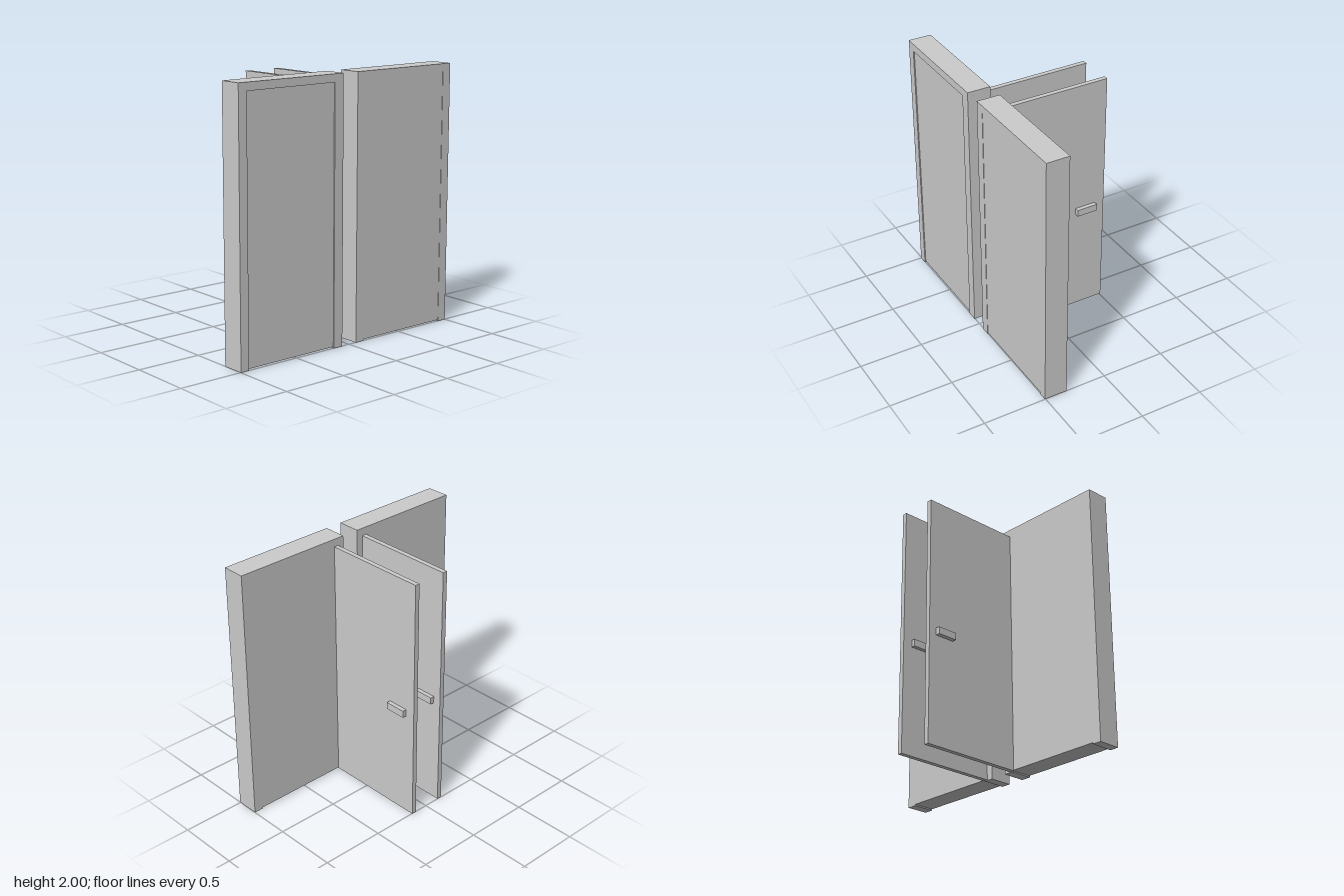
import * as THREE from 'three';

const material = new THREE.MeshStandardMaterial({ color: 0xcccccc, flatShading: true });

// Box given by its lower and upper corners
function block(name, [x0, y0, z0], [x1, y1, z1]) {
  const mesh = new THREE.Mesh(new THREE.BoxGeometry(x1 - x0, y1 - y0, z1 - z0), material);
  mesh.name = name;
  mesh.position.set((x0 + x1) / 2, (y0 + y1) / 2, (z0 + z1) / 2);
  return mesh;
}

// Frame with a shallowly recessed infill panel
function doorFrame(name, x0, x1, open0, open1, recess) {
  const back = 0.325, front = 0.505, head = 1.94;
  const shape = new THREE.Shape();
  [[x0, 0], [open0, 0], [open0, head], [open1, head], [open1, 0], [x1, 0], [x1, 2], [x0, 2]]
    .forEach(([x, y], i) => (i ? shape.lineTo(x, y) : shape.moveTo(x, y)));
  const surround = new THREE.Mesh(
    new THREE.ExtrudeGeometry(shape, { depth: front - back, bevelEnabled: false }), material);
  surround.name = 'frameSurround';
  surround.position.z = back;

  const group = new THREE.Group();
  group.name = name;
  group.add(surround, block('infillPanel', [open0, 0.01, back], [open1, head, front - recess]));
  return group;
}

// Open door leaf with a handle on both faces
function openDoor(name, x0, x1, zEnd, handleX, handleZ) {
  const group = new THREE.Group();
  group.name = name;
  group.add(block('doorLeaf', [x0, 0.005, zEnd], [x1, 1.94, 0.325]));
  const spans = [[handleX[0], x0], [x1, handleX[1]]];
  for (const [a, b] of spans) {
    group.add(block('handle', [a, 0.845, handleZ[0]], [b, 0.9, handleZ[1]]));
  }
  return group;
}

export function createModel() {
  const model = new THREE.Group();
  model.name = 'doubleDoors';
  model.add(
    doorFrame('rightFrame', -1, -0.07, -0.93, -0.15, 0.008),
    doorFrame('leftFrame', 0.065, 1, 0.14, 0.925, 0.003),
    openDoor('rightDoor', -0.16, -0.122, -0.503, [-0.195, -0.09], [-0.44, -0.28]),
    openDoor('leftDoor', 0.115, 0.152, -0.508, [0.085, 0.185], [-0.43, -0.262]),
  );
  return model;
}
